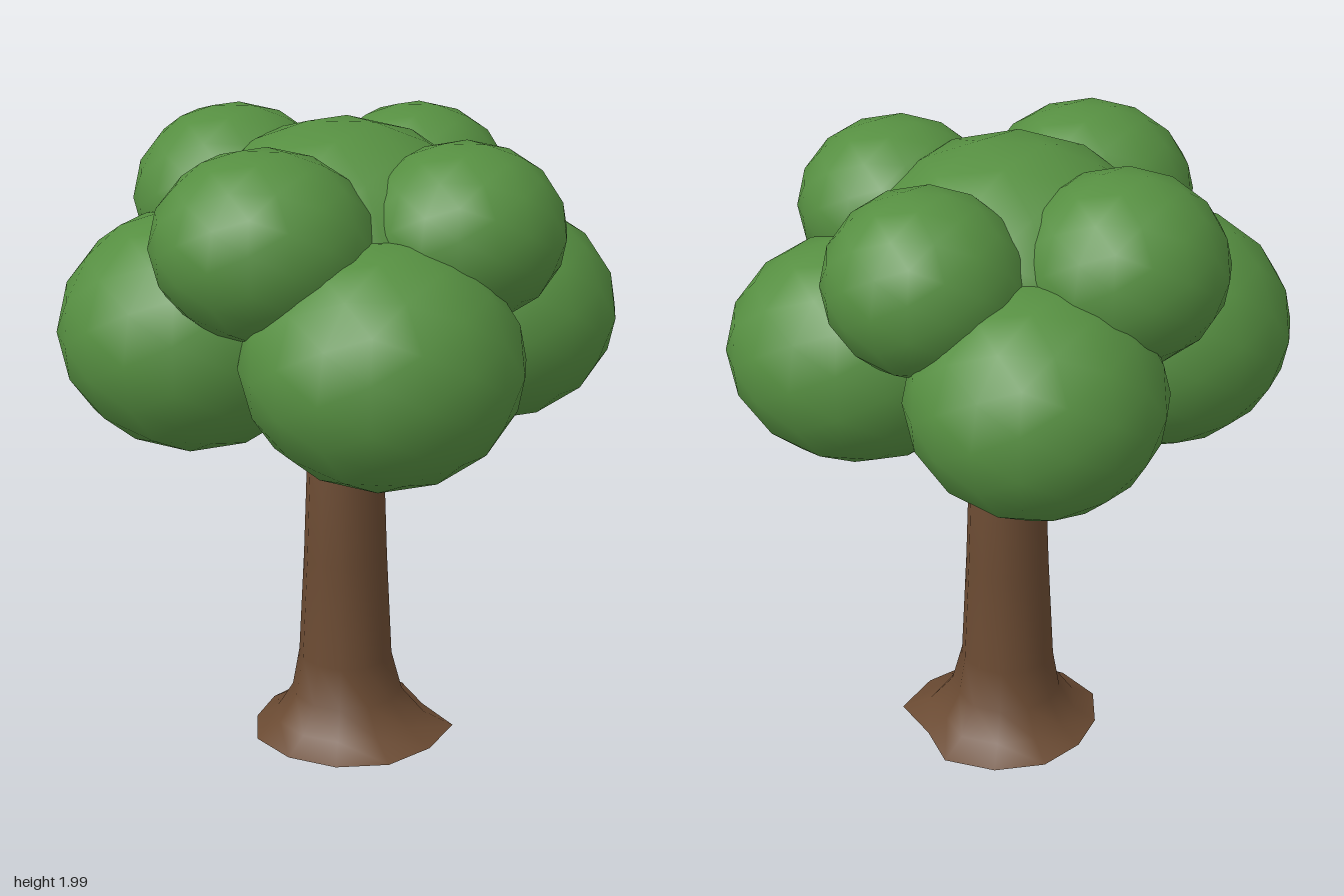
import * as THREE from 'three';
import { mergeVertices } from 'three/addons/utils/BufferGeometryUtils.js';

const CENTER = { x: 0.012, z: -0.011 };

// Shares vertices so that shading is smooth across seams
function smooth(geometry) {
  geometry.deleteAttribute('uv');
  geometry.deleteAttribute('normal');
  const merged = mergeVertices(geometry, 1e-4);
  merged.computeVertexNormals();
  return merged;
}

// Trunk: lathe profile whose foot spreads unevenly into roots
function trunkGeometry() {
  const profile = [
    [0.315, 0], [0.235, 0.045], [0.176, 0.127], [0.149, 0.255],
    [0.132, 0.6], [0.121, 0.915], [0.09, 0.935], [0, 0.945],
  ].map(([r, y]) => new THREE.Vector2(r, y));
  const footRadii = [0.35, 0.33, 0.33, 0.318, 0.31, 0.31, 0.29, 0.29, 0.31, 0.32, 0.33, 0.28];
  const sides = footRadii.length;
  const geometry = new THREE.LatheGeometry(profile, sides);
  const pos = geometry.attributes.position;
  for (let i = 0; i < pos.count; i++) {
    const x = pos.getX(i), y = pos.getY(i), z = pos.getZ(i);
    const step = Math.round((Math.atan2(z, x) / (2 * Math.PI)) * sides + sides) % sides;
    const weight = Math.max(0, 1 - y / 0.2);
    const k = 1 + (footRadii[step] / 0.315 - 1) * weight;
    pos.setXYZ(i, x * k, y, z * k);
  }
  return smooth(geometry);
}

export function createModel() {
  const tree = new THREE.Group();
  tree.name = 'tree';

  const bark = new THREE.MeshStandardMaterial({ color: 0x6a4a32, side: THREE.DoubleSide });
  bark.name = 'bark brown';
  const leaf = new THREE.MeshStandardMaterial({ color: 0x568f41 });
  leaf.name = 'leaf green';

  const trunk = new THREE.Mesh(trunkGeometry(), bark);
  trunk.name = 'trunk';
  trunk.position.set(CENTER.x, 0, CENTER.z);
  tree.add(trunk);

  // Branches: tapered limbs from the trunk top into the lower clumps
  const branches = new THREE.Group();
  branches.name = 'branches';
  const start = new THREE.Vector3(CENTER.x, 0.93, CENTER.z);
  const up = new THREE.Vector3(0, 1, 0);
  for (const [x, z] of [[-0.43, 0.13], [0.16, 0.43], [0.43, -0.15], [-0.13, -0.44]]) {
    const dir = new THREE.Vector3(x, 1.3, z).sub(start);
    const length = dir.length();
    const geometry = new THREE.CylinderGeometry(0.06, 0.085, length, 8).translate(0, length / 2, 0);
    const branch = new THREE.Mesh(geometry, bark);
    branch.name = 'branch';
    branch.position.copy(start);
    branch.quaternion.setFromUnitVectors(up, dir.normalize());
    branches.add(branch);
  }
  tree.add(branches);

  // Foliage: overlapping flattened balls [centre x, y, z, radius x, y, z]
  const clumps = {
    crownClump: [[0, 1.55, 0, 0.49, 0.45, 0.49]],
    lowerClump: [
      [-0.43, 1.38, 0.13, 0.415, 0.368, 0.415],
      [0.16, 1.385, 0.43, 0.418, 0.364, 0.412],
      [0.44, 1.38, -0.15, 0.4, 0.345, 0.37],
      [-0.13, 1.39, -0.45, 0.385, 0.345, 0.395],
    ],
    upperClump: [
      [-0.35, 1.705, -0.21, 0.315, 0.285, 0.32],
      [-0.19, 1.71, 0.37, 0.33, 0.28, 0.315],
      [0.375, 1.715, 0.185, 0.305, 0.265, 0.305],
      [0.2, 1.695, -0.37, 0.3, 0.275, 0.3],
    ],
  };
  const foliage = new THREE.Group();
  foliage.name = 'foliage';
  const ball = smooth(new THREE.IcosahedronGeometry(1, 2));
  for (const [name, list] of Object.entries(clumps)) {
    for (const [x, y, z, rx, ry, rz] of list) {
      const clump = new THREE.Mesh(ball, leaf);
      clump.name = name;
      clump.position.set(x, y, z);
      clump.scale.set(rx, ry, rz);
      foliage.add(clump);
    }
  }
  tree.add(foliage);
  return tree;
}
